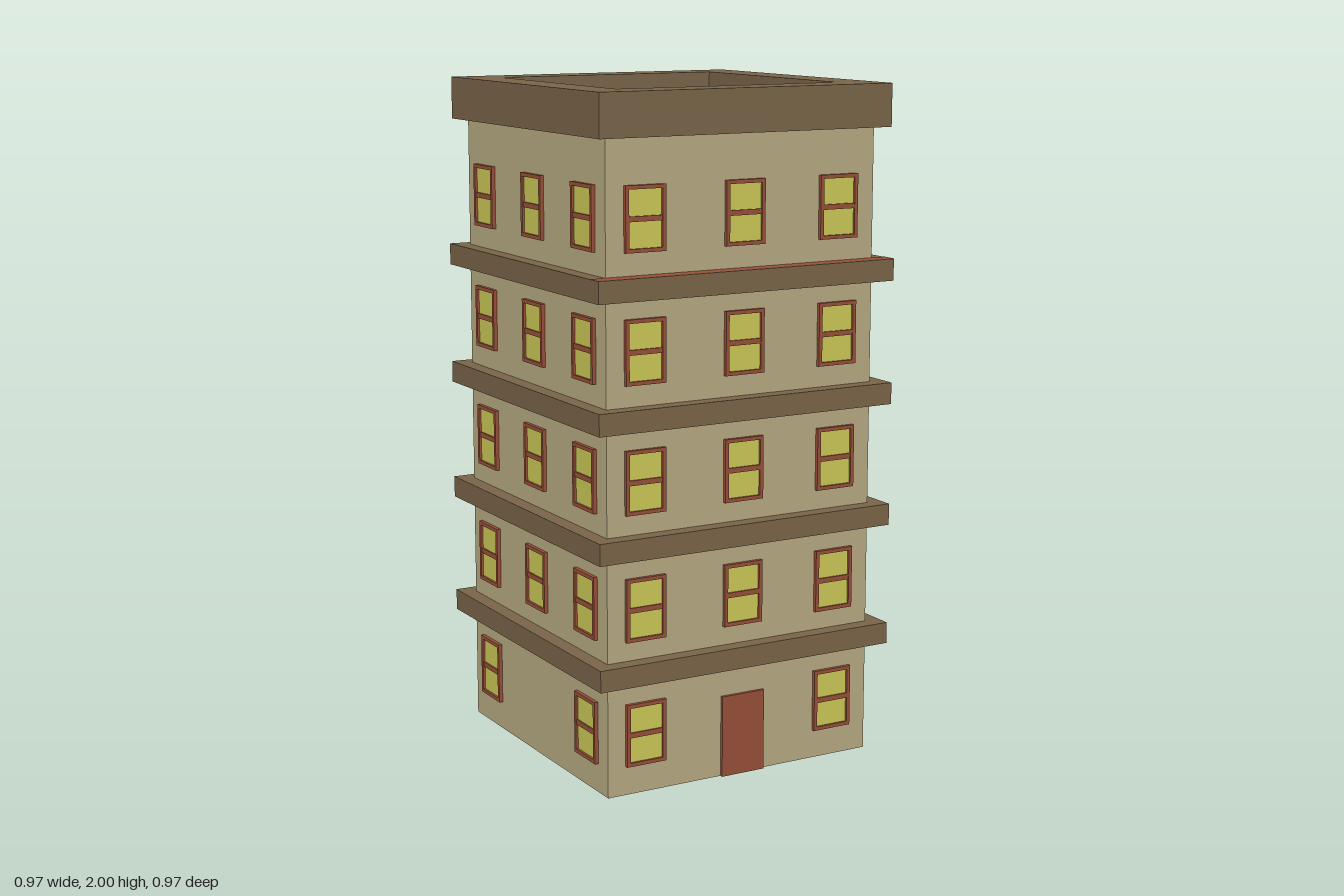
import * as THREE from 'three';

const makeMaterial = (name, color) => {
  const m = new THREE.MeshStandardMaterial({ color, side: THREE.DoubleSide });
  m.name = name;
  return m;
};

export function createModel() {
  const wallMat = makeMaterial('sand wall', 0xb5a880);
  const trimMat = makeMaterial('brown trim', 0x796448);
  const redMat = makeMaterial('brick red', 0x954f38);
  const glassMat = makeMaterial('yellow glass', 0xc9c755);

  const tower = new THREE.Group();
  tower.name = 'tower';

  const WALL = 0.4385, LEDGE = 0.485, STOREYS = 5;

  function add(parent, name, geometry, material, x = 0, y = 0, z = 0) {
    const mesh = new THREE.Mesh(geometry, material);
    mesh.name = name;
    mesh.position.set(x, y, z);
    parent.add(mesh);
    return mesh;
  }

  // Sweep a profile of [half width, height] around a square plan, with hard edges
  function squareSweep(profile) {
    const points = profile.map(([r, y]) => new THREE.Vector2(r * Math.SQRT2, y));
    const g = new THREE.LatheGeometry(points, 4, Math.PI / 4).toNonIndexed();
    g.computeVertexNormals();
    return g;
  }

  const box = (w, h, d) => new THREE.BoxGeometry(w, h, d);
  const ledgeBottom = i => 0.334 + 0.3655 * i;
  const ledgeTop = i => ledgeBottom(i) + 0.064;

  // Storey walls, open below, with a hollow ledge between each pair
  for (let i = 0; i < STOREYS; i++) {
    const y0 = i === 0 ? 0 : ledgeTop(i - 1);
    const y1 = i === STOREYS - 1 ? 1.9 : ledgeBottom(i);
    add(tower, 'storeyWall', squareSweep([[WALL, y0], [WALL, y1]]), wallMat);
    if (i < STOREYS - 1) {
      const a = ledgeBottom(i), b = ledgeTop(i);
      add(tower, 'ledge', squareSweep([[WALL, a], [LEDGE, a], [LEDGE, b], [WALL, b]]), trimMat);
    }
  }

  // Red top on the front of the highest ledge
  const strip = new THREE.PlaneGeometry(LEDGE * 2, LEDGE - WALL).rotateX(-Math.PI / 2);
  add(tower, 'redLedgeTop', strip, redMat, 0, ledgeTop(3) + 0.001, (LEDGE + WALL) / 2);

  // Parapet and sunken roof
  add(tower, 'parapet', squareSweep([
    [0.362, 1.875], [0.475, 1.875], [0.475, 2], [0.362, 2], [0.362, 1.875],
  ]), trimMat);
  add(tower, 'roof', new THREE.PlaneGeometry(0.724, 0.724).rotateX(-Math.PI / 2), redMat, 0, 1.91, 0);

  // Window: rectangular frame, glass and a middle bar
  const W = 0.127, H = 0.185, T = 0.011;
  const frameShape = new THREE.Shape([[-1, -1], [1, -1], [1, 1], [-1, 1]]
    .map(([x, y]) => new THREE.Vector2(x * W / 2, y * H / 2)));
  frameShape.holes.push(new THREE.Path([[-1, -1], [-1, 1], [1, 1], [1, -1]]
    .map(([x, y]) => new THREE.Vector2(x * (W / 2 - T), y * (H / 2 - T)))));
  const frameGeo = new THREE.ExtrudeGeometry(frameShape, { depth: 0.0115, bevelEnabled: false });
  const glassGeo = box(W - T, H - T, 0.004);
  const barGeo = box(W - 2 * T, 0.015, 0.009);

  function addWindow(parent, x, y) {
    const win = new THREE.Group();
    win.name = 'window';
    win.position.set(x, y, WALL);
    add(win, 'windowFrame', frameGeo, redMat);
    add(win, 'windowGlass', glassGeo, glassMat, 0, 0, 0.0025);
    add(win, 'windowBar', barGeo, redMat, 0, 0, 0.005);
    parent.add(win);
  }

  // Windows on all four sides; the ground floor has none in the middle
  ['front', 'left', 'back', 'right'].forEach((side, k) => {
    const face = new THREE.Group();
    face.name = side + 'Windows';
    face.rotation.y = k * Math.PI / 2;
    for (let i = 0; i < STOREYS; i++) {
      for (const x of [-0.318, 0.003, 0.316]) {
        if (i === 0 && Math.abs(x) < 0.1) continue;
        addWindow(face, x, 0.178 + 0.3685 * i);
      }
    }
    tower.add(face);
  });

  // Front door
  add(tower, 'door', box(0.142, 0.244, 0.0095), redMat, 0.005, 0.122, WALL + 0.0055);

  return tower;
}
